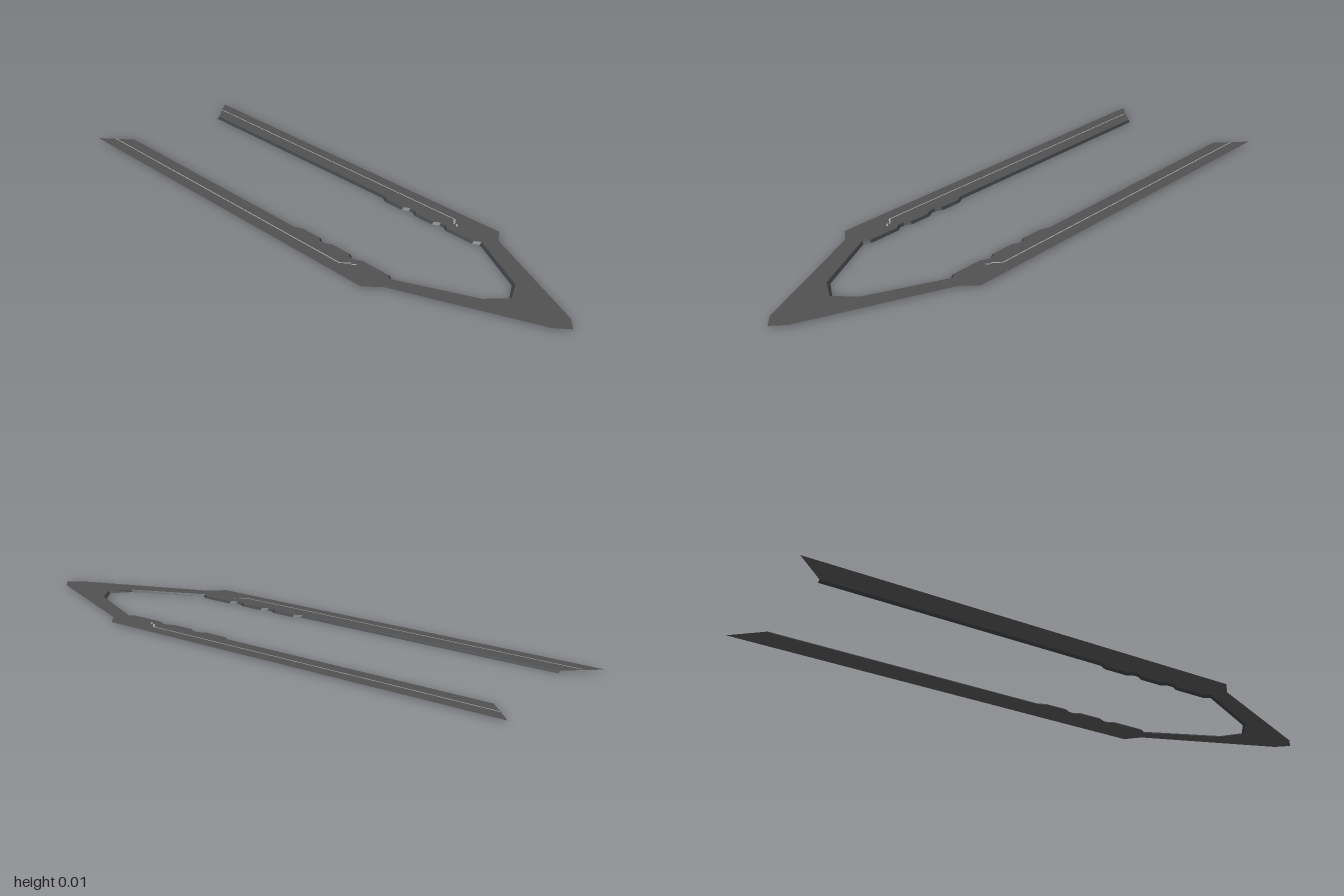
import * as THREE from 'three';

const TOP = 0.007;

// Mirrors a half path [x, z] (ending on the centre line) into a full one
const mirrorPath = (half) => [
  ...half,
  ...half.slice(0, -1).reverse().map(([x, z]) => [-x, z]),
];

// Right half of the inner lower edge, from the tail to the nose
const innerHalf = [
  [0.178, -0.905], [0.178, 0.04], [0.165, 0.065], [0.165, 0.145],
  [0.177, 0.165], [0.177, 0.185], [0.165, 0.205], [0.165, 0.285],
  [0.177, 0.305], [0.177, 0.325], [0.165, 0.345], [0.165, 0.46],
  [0.178, 0.48], [0.063, 0.72], [0, 0.77],
];

// Right half of the outer edge
const outerHalf = [
  [0.278, -1], [0.278, 0.465], [0.232, 0.505], [0.038, 0.96], [0, 1],
];

// Upper edge of the bevel, set back from the lower edge
const setBack = ([x, z]) =>
  z > 0.6 ? [x === 0 ? 0 : x + 0.004, z + 0.01] : [x + 0.008, z];

function flatGeometry(points) {
  const shape = new THREE.Shape(points.map(([x, z]) => new THREE.Vector2(x, -z)));
  return new THREE.ShapeGeometry(shape).rotateX(-Math.PI / 2);
}

// Sloping band between the lower and upper inner edges
function bevelGeometry(lower, upper) {
  const pos = [];
  for (let i = 0; i < lower.length - 1; i++) {
    const a = [lower[i][0], 0, lower[i][1]];
    const b = [lower[i + 1][0], 0, lower[i + 1][1]];
    const c = [upper[i][0], TOP, upper[i][1]];
    const d = [upper[i + 1][0], TOP, upper[i + 1][1]];
    pos.push(...a, ...b, ...c, ...b, ...d, ...c);
  }
  const geo = new THREE.BufferGeometry();
  geo.setAttribute('position', new THREE.Float32BufferAttribute(pos, 3));
  geo.computeVertexNormals();
  return geo;
}

export function createModel() {
  const group = new THREE.Group();
  const material = (name, color) => {
    const m = new THREE.MeshStandardMaterial({ color, side: THREE.DoubleSide });
    m.name = name;
    return m;
  };
  const bodyGrey = material('bodyGrey', 0x505050);
  const edgeGrey = material('edgeGrey', 0x383b3e);
  const lineGrey = material('lineGrey', 0xa0a0a0);

  const add = (name, geo, mat) => {
    const mesh = new THREE.Mesh(geo, mat);
    mesh.name = name;
    group.add(mesh);
    return mesh;
  };

  // Forked flat plate
  const lower = mirrorPath(innerHalf);
  const upper = mirrorPath(innerHalf.map(setBack));
  const outline = [...mirrorPath(outerHalf), ...upper.slice().reverse()];
  add('forkedPlate', flatGeometry(outline), bodyGrey).position.y = TOP;

  // Bevelled inner edge
  add('innerBevel', bevelGeometry(lower, upper), edgeGrey);

  // Fine raised line along each arm, with a hooked front end
  const w = 0.004;
  const path = [
    [0.234, -0.95], [0.234, 0.315], [0.21, 0.338], [0.213, 0.345], [0.203, 0.358],
  ];
  for (const side of [1, -1]) {
    const line = [
      ...path.map(([x, z]) => [side * (x + w / 2), z + w / 2]),
      ...path.slice().reverse().map(([x, z]) => [side * (x - w / 2), z - w / 2]),
    ];
    add(side > 0 ? 'leftLine' : 'rightLine', flatGeometry(line), lineGrey).position.y = TOP + 0.0015;
  }

  return group;
}
